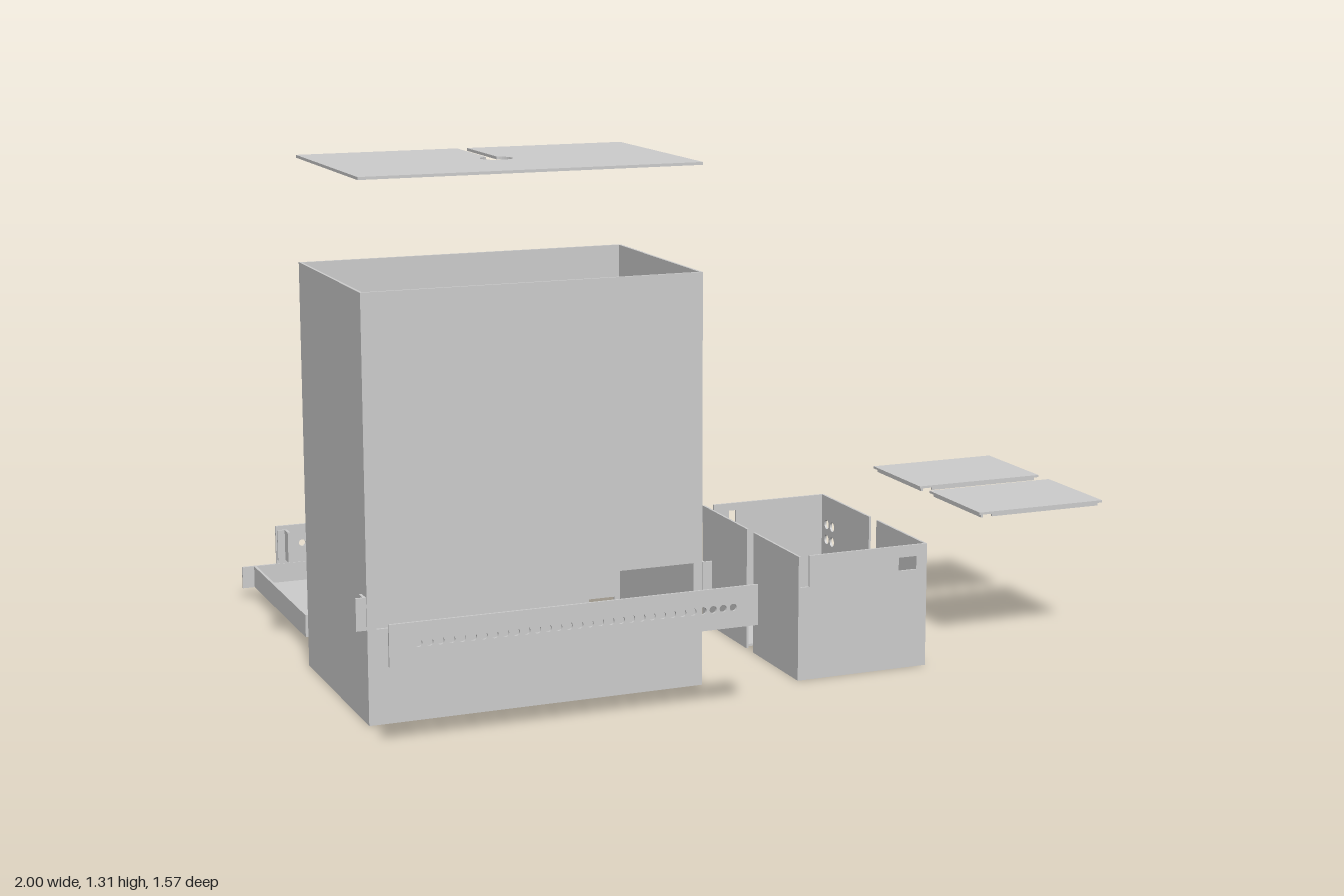
import * as THREE from 'three';

const mat = new THREE.MeshStandardMaterial({ color: 0xcccccc, side: THREE.DoubleSide, flatShading: true });

// Sheet panel of thickness t starting at w along an axis.
// Outline is [u0, v0, u1, v1] or a Shape; holes are [u0, v0, u1, v1] or [u, v, radius].
// axis z: (u, v) = (x, y); axis x: (u, v) = (z, y); axis y: (u, v) = (x, z).
function sheet(parent, name, axis, outline, w, t, holes = []) {
  const s = axis === 'x' ? -1 : 1;
  const rect = (P, [a, b, c, d]) => {
    const p = new P();
    p.moveTo(s * a, b);
    p.lineTo(s * c, b);
    p.lineTo(s * c, d);
    p.lineTo(s * a, d);
    p.closePath();
    return p;
  };
  const shape = outline instanceof THREE.Shape ? outline : rect(THREE.Shape, outline);
  for (const h of holes) {
    if (h.length === 3) shape.holes.push(new THREE.Path().absarc(s * h[0], h[1], h[2], 0, Math.PI * 2, true));
    else shape.holes.push(rect(THREE.Path, h));
  }
  const geo = new THREE.ExtrudeGeometry(shape, { depth: t, bevelEnabled: false, curveSegments: 16 });
  if (axis === 'x') geo.rotateY(Math.PI / 2).translate(w, 0, 0);
  else if (axis === 'y') geo.rotateX(Math.PI / 2).translate(0, w + t, 0);
  else geo.translate(0, 0, w);
  const mesh = new THREE.Mesh(geo, mat);
  mesh.name = name;
  parent.add(mesh);
  return mesh;
}

// Solid block between two corners
function block(parent, name, [x0, y0, z0], [x1, y1, z1]) {
  const mesh = new THREE.Mesh(new THREE.BoxGeometry(x1 - x0, y1 - y0, z1 - z0), mat);
  mesh.position.set((x0 + x1) / 2, (y0 + y1) / 2, (z0 + z1) / 2);
  mesh.name = name;
  parent.add(mesh);
}

function group(parent, name) {
  const g = new THREE.Group();
  g.name = name;
  parent.add(g);
  return g;
}

const polygon = (pts) => new THREE.Shape(pts.map(([x, y]) => new THREE.Vector2(x, y)));

const L = -0.97, R = -0.11, B = -0.035, F = 0.505, H = 1.04, T = 0.007;
const MID = (L + R) / 2;

// Open-topped main housing with windows and a drawer slot
function housing(root) {
  const g = group(root, 'housing');
  const window = [-0.947, 0.235, -0.133, 0.315];
  const drawerSlot = [-0.947, 0.025, -0.133, 0.095];
  sheet(g, 'housingFloor', 'y', [L, B, R, F], 0, T);
  sheet(g, 'housingFront', 'z', [L, 0, R, H], F - T, T, [window]);
  sheet(g, 'housingBack', 'z', [L, 0, R, H], B, T, [window, drawerSlot]);
  sheet(g, 'housingRightWall', 'x', [B, 0, F, H], L, T);
  sheet(g, 'housingLeftWall', 'x', [B, 0, F, H], R - T, T, [[0.235, 0.78, 0.04]]);
}

// Lid with a keyhole cut running in from the back edge
function lid(root) {
  const r = 0.04, half = 0.013, cz = 0.23, a = Math.asin(half / r);
  const s = new THREE.Shape();
  s.moveTo(L, B);
  s.lineTo(MID - half, B);
  s.absarc(MID, cz, r, -Math.PI / 2 - a, -Math.PI * 2.5 + a, true);
  s.lineTo(MID + half, B);
  s.lineTo(R, B);
  s.lineTo(R, F);
  s.lineTo(L, F);
  s.closePath();
  sheet(root, 'lid', 'y', s, 1.3, T);
}

// Perforated strips and their angle brackets
function strips(root) {
  const holes = (n) => Array.from({ length: n }, (_, i) => [-0.93 + (0.78 * i) / (n - 1), 0.275, 0.009]);
  const plate = [-1, 0.225, -0.085, 0.325];
  sheet(root, 'frontStrip', 'z', plate, 0.777, 0.006, holes(31));
  sheet(root, 'backStrip', 'z', plate, -0.23, 0.006, holes(31));
  for (const [name, z, d] of [['frontBracket', 0.502, -1], ['backBracket', -0.22, 1]]) {
    for (const side of [-1, 1]) {
      const g = group(root, name);
      const xs = (a, b) => [MID + side * a, MID + side * b].sort((p, q) => p - q);
      const zs = [z, z + d * 0.034].sort((p, q) => p - q);
      const [t0, t1] = xs(0.431, 0.438);
      const [f0, f1] = xs(0.431, 0.457);
      block(g, 'bracketTab', [t0, 0.235, zs[0]], [t1, 0.315, zs[1]]);
      block(g, 'bracketFlange', [f0, 0.235, z - 0.003], [f1, 0.315, z + 0.003]);
    }
  }
}

// Pulled-out tray with face plate and handle
function drawer(root) {
  const g = group(root, 'drawer');
  const x0 = -0.937, x1 = -0.145, z0 = -0.73, z1 = -0.187, y0 = 0.03, y1 = 0.09;
  sheet(g, 'drawerFloor', 'y', [x0, z0, x1, z1], y0, T);
  sheet(g, 'drawerInnerEnd', 'z', [x0, y0, x1, y1], z1 - T, T);
  for (const x of [x0, x1 - T]) sheet(g, 'drawerSide', 'x', [z0, y0, z1, y1], x, T);
  sheet(g, 'drawerFace', 'z', [L, y0, R, y1], z0 - T, T);
  block(g, 'drawerHandle', [-0.595, 0.045, -0.785], [-0.49, 0.07, z0 - T]);
}

// Control case split into front and back halves, open toward each other
function controlCase(root) {
  const x0 = 0.125, x1 = 0.485, h = 0.32, t = 0.006;
  const notched = () => polygon([[x0, 0], [x1, 0], [x1, h], [0.155, h], [0.155, 0.24], [x0, 0.24]]);
  const joint = [0.21, 0.39];

  const a = group(root, 'frontCaseHalf');
  const az0 = 0.297, az1 = 0.567;
  const edge = [[x0, az0]];
  for (const x of joint) edge.push([x - 0.01, az0], [x - 0.01, az0 + 0.016], [x + 0.01, az0 + 0.016], [x + 0.01, az0]);
  sheet(a, 'caseFloor', 'y', polygon([...edge, [x1, az0], [x1, az1], [x0, az1]]), 0, t);
  sheet(a, 'caseFront', 'z', notched(), az1 - t, t, [[0.405, 0.255, 0.455, 0.29]]);
  sheet(a, 'caseRightWall', 'x', [az0, 0, az1, h], x0, t);
  sheet(a, 'caseLeftWall', 'x', [az0, 0, az1, h], x1 - t, t,
    [[0.48, 0.095, 0.51, 0.16], [0.44, 0.03, 0.51, 0.08]]);

  const b = group(root, 'backCaseHalf');
  const bz0 = -0.033, bz1 = 0.255;
  sheet(b, 'caseFloor', 'y', [x0, bz0, x1, 0.24], 0, t);
  for (const x of joint) block(b, 'jointTab', [x - 0.009, 0, 0.24], [x + 0.009, t, 0.26]);
  sheet(b, 'caseBack', 'z', notched(), bz0, t, [[0.2, 0.265, 0.22, 0.3]]);
  sheet(b, 'caseRightWall', 'x', [bz0, 0, bz1, h], x0, t);
  const ports = [[0.095, 0.01, 0.125, 0.031], [0.055, 0.01, 0.087, 0.031]];
  for (const z of [0.035, 0.002]) for (const y of [0.2, 0.242]) ports.push([z, y, 0.013]);
  for (const z of [0.12, 0.093, 0.067]) ports.push([z, 0.062, 0.008]);
  sheet(b, 'caseLeftWall', 'x', [bz0, 0, bz1, h], x1 - t, t, ports);
}

// Two case covers with a locating rim underneath
function covers(root) {
  for (const [z0, z1] of [[-0.03, 0.24], [0.294, 0.564]]) {
    const g = group(root, 'caseCover');
    const y = 0.37, top = 0.379, t = 0.006, i = 0.008;
    sheet(g, 'coverPlate', 'y', [0.637, z0, 1, z1], top, t);
    for (const z of [z0 + i, z1 - i - t]) block(g, 'coverRim', [0.678, y, z], [0.992, top, z + t]);
    for (const x of [0.645, 0.986]) block(g, 'coverRim', [x, y, z0 + i], [x + t, top, z1 - i]);
  }
}

export function createModel() {
  const root = new THREE.Group();
  root.name = 'explodedEnclosure';
  for (const build of [housing, lid, strips, drawer, controlCase, covers]) build(root);
  return root;
}
